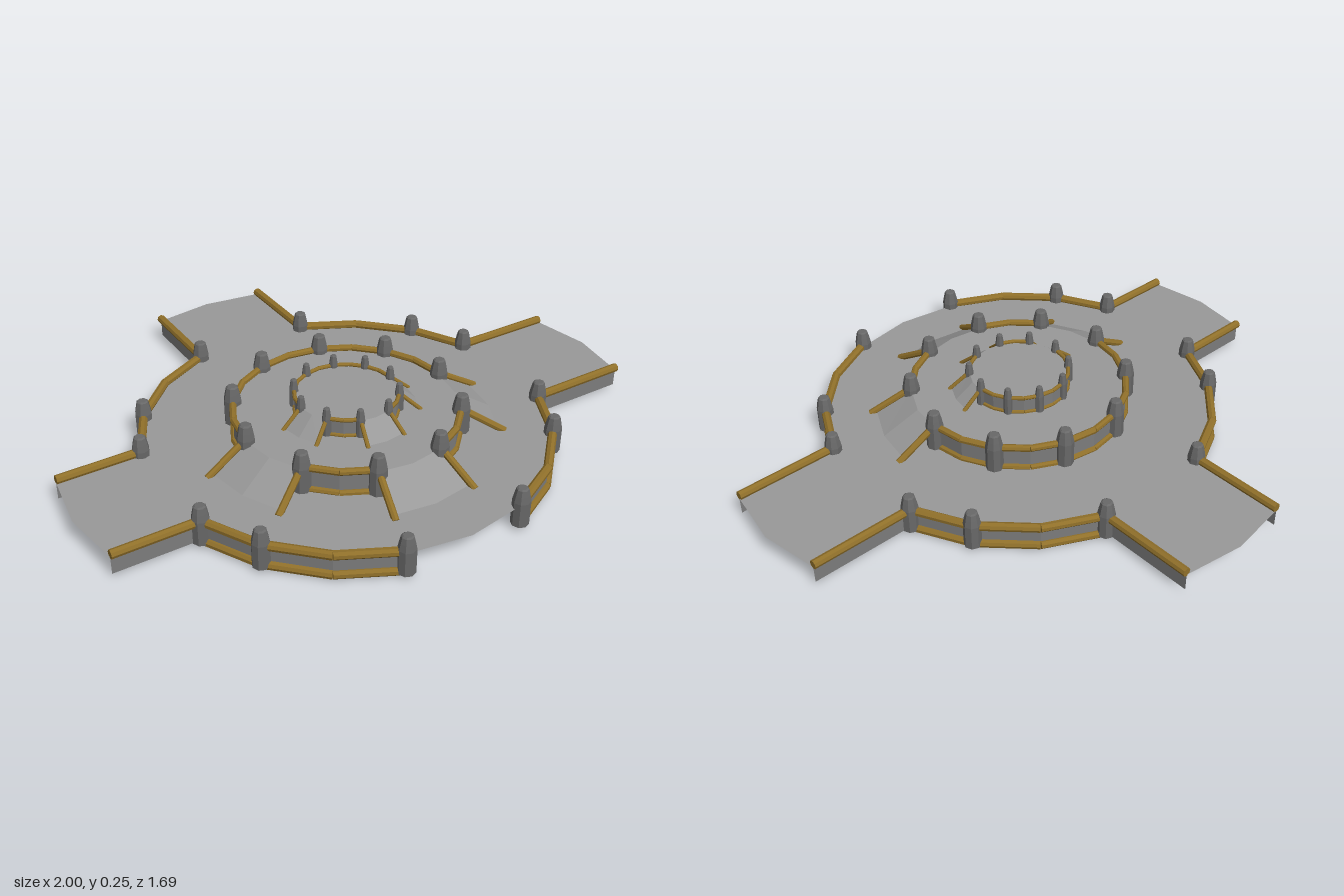
import * as THREE from 'three';
import { mergeGeometries } from 'three/addons/utils/BufferGeometryUtils.js';

const CX = -0.04, CZ = 0.165, STEP = 18;

const mat = (name, color, extra = {}) => {
  const m = new THREE.MeshStandardMaterial({ color, ...extra });
  m.name = name;
  return m;
};

// point on a circle round the plaza centre; 90 degrees is the front
const at = (r, deg, y) => {
  const a = THREE.MathUtils.degToRad(deg);
  return new THREE.Vector3(CX + r * Math.cos(a), y, CZ + r * Math.sin(a));
};

// corner points of a 20-sided ring from angle a to angle b
const arc = (r, a, b, y) => {
  const pts = [];
  for (let d = a; d <= b + 0.01; d += STEP) pts.push(at(r, d, y));
  return pts;
};

// round bar following a path of straight runs
function bar(pts, radius) {
  const parts = [];
  for (let i = 0; i + 1 < pts.length; i++) {
    const dir = pts[i + 1].clone().sub(pts[i]);
    const g = new THREE.CylinderGeometry(radius, radius, dir.length(), 8);
    g.applyQuaternion(new THREE.Quaternion().setFromUnitVectors(
      new THREE.Vector3(0, 1, 0), dir.clone().normalize()));
    const mid = pts[i].clone().add(pts[i + 1]).multiplyScalar(0.5);
    parts.push(g.translate(mid.x, mid.y, mid.z));
  }
  return mergeGeometries(parts);
}

// flat-shaded quads between two matching lines of points
function strip(low, high) {
  const p = [];
  for (let i = 0; i + 1 < low.length; i++)
    for (const v of [low[i], high[i], high[i + 1], low[i], high[i + 1], low[i + 1]]) p.push(v.x, v.y, v.z);
  const g = new THREE.BufferGeometry();
  g.setAttribute('position', new THREE.Float32BufferAttribute(p, 3));
  g.computeVertexNormals();
  return g;
}

const lowered = (pts, y) => pts.map(p => new THREE.Vector3(p.x, y, p.z));

// horizontal surface bounded by a loop of points
function deck(pts, y) {
  const g = new THREE.ShapeGeometry(new THREE.Shape(pts.map(p => new THREE.Vector2(p.x, -p.z))));
  return g.rotateX(-Math.PI / 2).translate(0, y, 0);
}

// bollard with a tapered, rounded top
function post(p, r, base, top) {
  const h = top - base;
  const prof = [[0, 0], [r, 0], [r, 0.64 * h], [0.84 * r, 0.82 * h], [0.68 * r, 0.97 * h], [0.5 * r, h], [0, h]];
  return new THREE.LatheGeometry(prof.map(q => new THREE.Vector2(...q)), 8).translate(p.x, base, p.z);
}

export function createModel() {
  const group = new THREE.Group();
  const floorMat = mat('floor grey', 0x999999, { side: THREE.DoubleSide });
  const wallMat = mat('wall grey', 0x7c7c7c, { side: THREE.DoubleSide });
  const postMat = mat('post grey', 0x686868, { flatShading: true });
  const railMat = mat('rail bronze', 0x90702a, { flatShading: true });
  const add = (name, geo, m) => {
    const mesh = new THREE.Mesh(geo, m);
    mesh.name = name;
    group.add(mesh);
  };

  // main plaza with three walkways
  const R = 0.677, FLOOR = 0.075, RAIL = 0.085;
  const rightEnd = 0.965, leftEnd = -0.97, backEnd = -0.815;
  const c = d => at(R, d, RAIL);
  const endX = (d, x) => new THREE.Vector3(x, RAIL, c(d).z);
  const endZ = d => new THREE.Vector3(c(d).x, RAIL, backEnd);
  const tip = (x, z) => new THREE.Vector3(x, RAIL, z);
  add('mainFloor', deck([
    endX(18, rightEnd), ...arc(R, 18, 162, RAIL), endX(162, leftEnd), tip(-1, CZ), endX(198, leftEnd),
    ...arc(R, 198, 252, RAIL), endZ(252), tip(CX, -0.845), endZ(288),
    ...arc(R, 288, 342, RAIL), endX(342, rightEnd), tip(1, CZ)
  ], FLOOR), floorMat);

  // outer walls and top rails, each running out along a walkway
  const runs = [
    [endX(18, rightEnd), ...arc(R, 18, 72, RAIL)],
    [...arc(R, 108, 162, RAIL), endX(162, leftEnd)],
    [endX(198, leftEnd), ...arc(R, 198, 252, RAIL), endZ(252)],
    [endZ(288), ...arc(R, 288, 342, RAIL), endX(342, rightEnd)]
  ];
  for (const run of runs) {
    add('outerWall', strip(lowered(run, 0.014), run), wallMat);
    add('outerRail', bar(run, 0.015), railMat);
  }
  add('lowerRail', bar(arc(R, 18, 72, 0.015), 0.015), railMat);
  add('lowerRail', bar(arc(R, 108, 342, 0.015), 0.015), railMat);
  for (const d of [18, 36, 72, 108, 144, 162, 198, 216, 252, 288, 324, 342])
    add('outerPost', post(c(d), 0.029, 0.012, 0.144), postMat);

  // two raised tiers, each with three ramps
  const tiers = [
    { name: 'middle', r: 0.375, base: FLOOR, y: 0.148, ramp: 0.5, railEnd: 0.522, bar: 0.012, post: 0.03, top: 0.213 },
    { name: 'upper', r: 0.172, base: 0.148, y: 0.203, ramp: 0.236, railEnd: 0.245, bar: 0.007, post: 0.015, top: 0.247 }
  ];
  for (const t of tiers) {
    add(t.name + 'Floor', deck(arc(t.r, 0, 342, t.y), t.y), floorMat);
    const railY = t.y + t.bar * 0.7;
    // walls and rails between the ramps
    for (const [a, b] of [[36, 72], [108, 144], [180, 360]]) {
      const line = arc(t.r, a, b, railY);
      add(t.name + 'Wall', strip(lowered(line, t.base), line), wallMat);
      add(t.name + 'Rail', bar(line, t.bar), railMat);
      add(t.name + 'LowerRail', bar(lowered(line, t.base + 0.003), t.bar), railMat);
    }
    // ramps with sloping handrails
    for (const a of [0, 72, 144]) {
      const outer = [a + 1.5, a + 18, a + 34.5].map(d => at(t.ramp, d, t.base + 0.001));
      add(t.name + 'Ramp', strip(outer, arc(t.r, a, a + 36, t.y)), floorMat);
      for (const [d, e] of [[a, a + 1.5], [a + 36, a + 34.5]])
        add(t.name + 'RampRail', bar([at(t.r, d, railY), at(t.railEnd, e, t.base - t.bar * 0.4)], t.bar), railMat);
    }
    for (let d = 0; d < 360; d += 36)
      add(t.name + 'Post', post(at(t.r, d, 0), t.post, t.base - 0.004, t.top), postMat);
  }
  return group;
}
